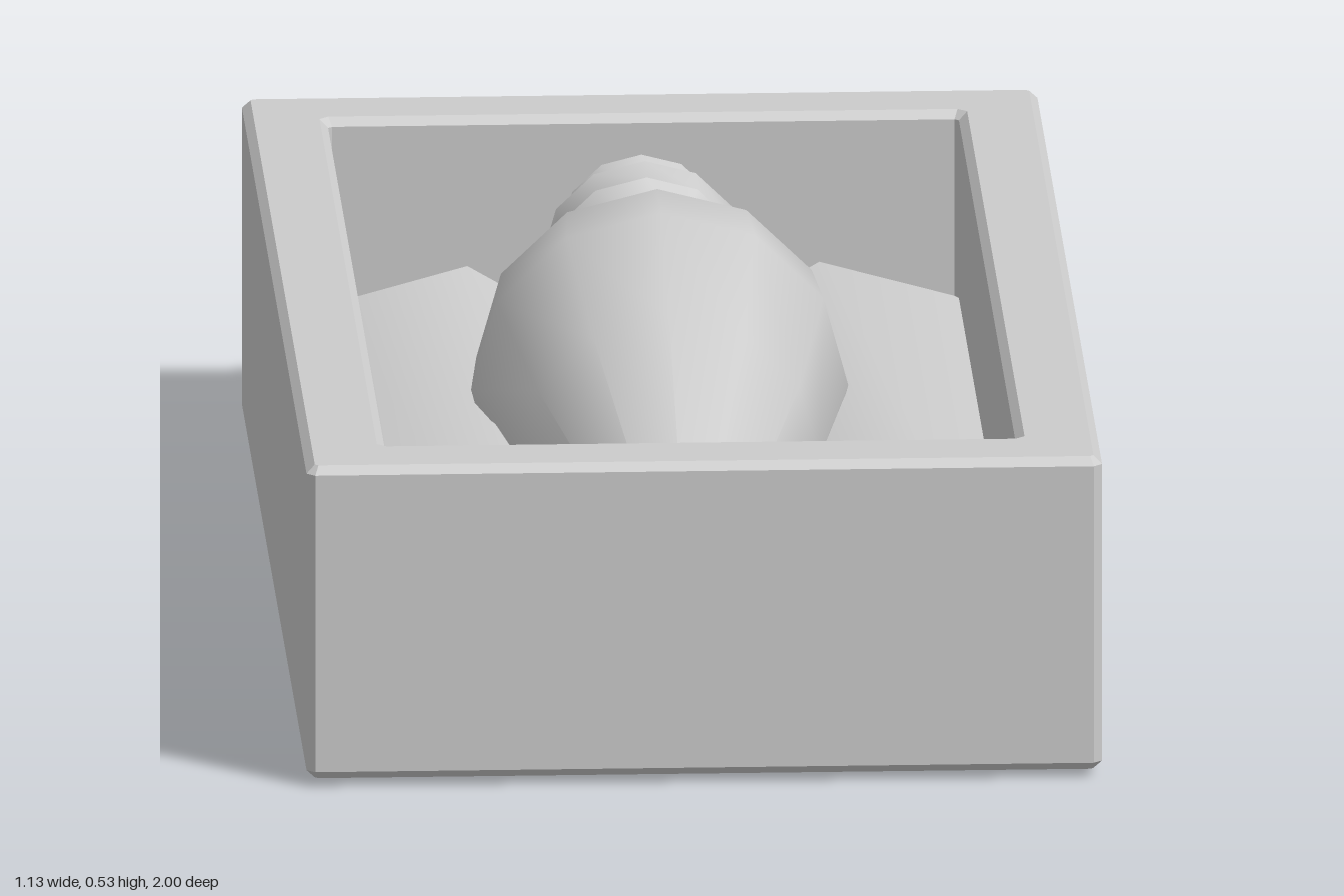
import * as THREE from 'three';
import { toCreasedNormals } from 'three/addons/utils/BufferGeometryUtils.js';

const material = new THREE.MeshStandardMaterial({ color: 0xcccccc });

function part(name, geometry) {
  const mesh = new THREE.Mesh(geometry, material);
  mesh.name = name;
  return mesh;
}

const points = (list) => list.map(([x, y]) => new THREE.Vector2(x, y));

// Rectangle outline with cut corners
function cutRectangle(hx, hy, c) {
  return points([
    [hx, -hy + c], [hx, hy - c], [hx - c, hy], [-hx + c, hy],
    [-hx, hy - c], [-hx, -hy + c], [-hx + c, -hy], [hx - c, -hy],
  ]);
}

// Twelve-sided turned part, smooth except at strong edges
function turned(name, profile) {
  return part(name, toCreasedNormals(new THREE.LatheGeometry(points(profile), 12), 0.65));
}

export function createModel() {
  const model = new THREE.Group();
  model.name = 'bottleInBox';

  // Box frame with chamfered edges
  const bevel = 0.012;
  const outline = new THREE.Shape(cutRectangle(0.565, 1, 0.012));
  outline.holes.push(new THREE.Path(cutRectangle(0.448, 0.878, 0.006)));
  const frame = new THREE.ExtrudeGeometry(outline, {
    depth: 0.46 - 2 * bevel, bevelEnabled: true, bevelSegments: 1,
    bevelSize: bevel, bevelThickness: bevel, bevelOffset: -bevel,
  });
  frame.rotateX(-Math.PI / 2).translate(0, 0.015 + bevel, 0);
  model.add(part('boxFrame', frame));

  // Cushion with a valley along its middle, filling the frame
  const section = new THREE.Shape(points([
    [-0.455, 0.01], [0.455, 0.01], [0.455, 0.2], [0.25, 0.256],
    [0, 0.11], [-0.25, 0.256], [-0.455, 0.2],
  ]));
  const cushion = new THREE.ExtrudeGeometry(section, { depth: 1.92, bevelEnabled: false });
  cushion.translate(0, 0, -0.96);
  model.add(part('cushion', toCreasedNormals(cushion, 0.9)));

  // Bottle lying on its back, neck raised a little
  const bottle = new THREE.Group();
  bottle.name = 'bottle';
  bottle.add(
    turned('bottleBody', [
      [0.001, -0.94], [0.215, -0.26], [0.268, 0], [0.255, 0.12], [0.2, 0.22],
      [0.1, 0.295], [0.097, 0.38],
    ]),
    turned('bottleLip', [
      [0.09, 0.37], [0.105, 0.38], [0.145, 0.425], [0.145, 0.485],
      [0.128, 0.505], [0.001, 0.505],
    ]),
    turned('cork', [
      [0.093, 0.49], [0.113, 0.585], [0.1, 0.605], [0.001, 0.605],
    ]),
  );
  bottle.position.set(-0.01, 0.27, -0.16);
  bottle.rotation.x = -(Math.PI / 2 - 0.131);
  model.add(bottle);

  return model;
}
